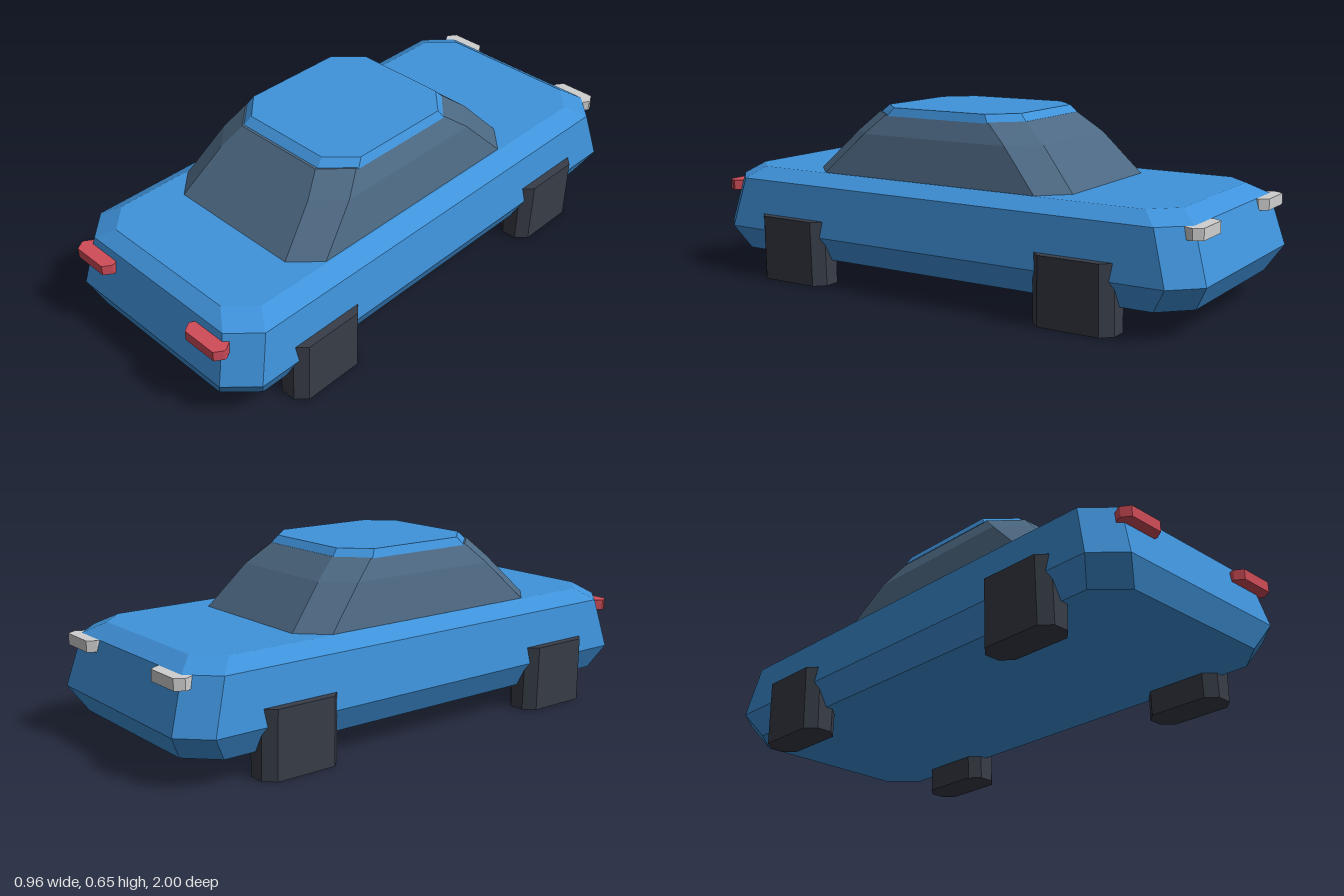
import * as THREE from 'three';

const paint = (name, color) => {
  const m = new THREE.MeshStandardMaterial({ color, flatShading: true });
  m.name = name;
  return m;
};

// Loft through chamfered rectangles. Each ring: [y, half width, back z, front z, chamfer x, chamfer z]
function loft(rings) {
  const loops = rings.map(([y, w, b, f, cx, cz]) => [
    [w, y, f - cz], [w, y, b + cz], [w - cx, y, b], [cx - w, y, b],
    [-w, y, b + cz], [-w, y, f - cz], [cx - w, y, f], [w - cx, y, f],
  ]);
  const pos = [];
  const tri = (a, b, c) => pos.push(...a, ...b, ...c);
  for (let r = 0; r < loops.length - 1; r++) {
    const lo = loops[r], hi = loops[r + 1];
    for (let i = 0; i < 8; i++) {
      const j = (i + 1) % 8;
      tri(lo[i], lo[j], hi[j]);
      tri(lo[i], hi[j], hi[i]);
    }
  }
  // Flat caps
  const bottom = loops[0], top = loops[loops.length - 1];
  for (let i = 1; i < 7; i++) {
    tri(bottom[0], bottom[i + 1], bottom[i]);
    tri(top[0], top[i], top[i + 1]);
  }
  const g = new THREE.BufferGeometry();
  g.setAttribute('position', new THREE.Float32BufferAttribute(pos, 3));
  g.computeVertexNormals();
  return g;
}

export function createModel() {
  const car = new THREE.Group();
  car.name = 'car';
  const blue = paint('bodyBlue', 0x3f92da);
  const glass = paint('windowGlass', 0x4c6882);
  const rubber = paint('tyreDark', 0x383d48);
  const red = paint('lampRed', 0xd04c58);
  const white = paint('lampWhite', 0xcfcfcf);

  const add = (name, geometry, material, x = 0, y = 0, z = 0) => {
    const mesh = new THREE.Mesh(geometry, material);
    mesh.name = name;
    mesh.position.set(x, y, z);
    car.add(mesh);
  };

  // Lower body: sill, waist, shoulder and deck
  add('body', loft([
    [0.09, 0.405, -0.945, 0.95, 0.1, 0.1],
    [0.18, 0.455, -1.0, 0.988, 0.097, 0.097],
    [0.365, 0.43, -0.945, 0.94, 0.095, 0.095],
    [0.405, 0.362, -0.88, 0.89, 0.09, 0.09],
  ]), blue);

  // Glazed cabin
  add('cabinWindows', loft([
    [0.4, 0.357, -0.483, 0.61, 0.095, 0.095],
    [0.555, 0.315, -0.34, 0.457, 0.095, 0.098],
    [0.626, 0.276, -0.25, 0.385, 0.093, 0.098],
  ]), glass);

  // Roof cap
  add('roof', loft([
    [0.622, 0.281, -0.252, 0.38, 0.095, 0.1],
    [0.652, 0.267, -0.225, 0.347, 0.092, 0.092],
  ]), blue);

  // Blocky wheels and lamps, mirrored left and right
  const wheel = loft([
    [0, 0.066, -0.15, 0.15, 0.037, 0.037],
    [0.24, 0.071, -0.148, 0.148, 0.037, 0.037],
  ]);
  const frontLamp = loft([
    [0.3, 0.0875, 0.93, 0.998, 0.02, 0.03],
    [0.338, 0.0875, 0.93, 0.998, 0.02, 0.03],
  ]);
  const rearLamp = loft([
    [0.325, 0.0875, -0.985, -0.915, 0.02, 0.03],
    [0.365, 0.0875, -0.985, -0.915, 0.02, 0.03],
  ]);
  for (const [side, s] of [['Left', 1], ['Right', -1]]) {
    add('frontWheel' + side, wheel, rubber, s * 0.408, 0, 0.598);
    add('rearWheel' + side, wheel, rubber, s * 0.408, 0, -0.58);
    add('frontLamp' + side, frontLamp, red, s * 0.2875);
    add('rearLamp' + side, rearLamp, white, s * 0.2875);
  }
  return car;
}
